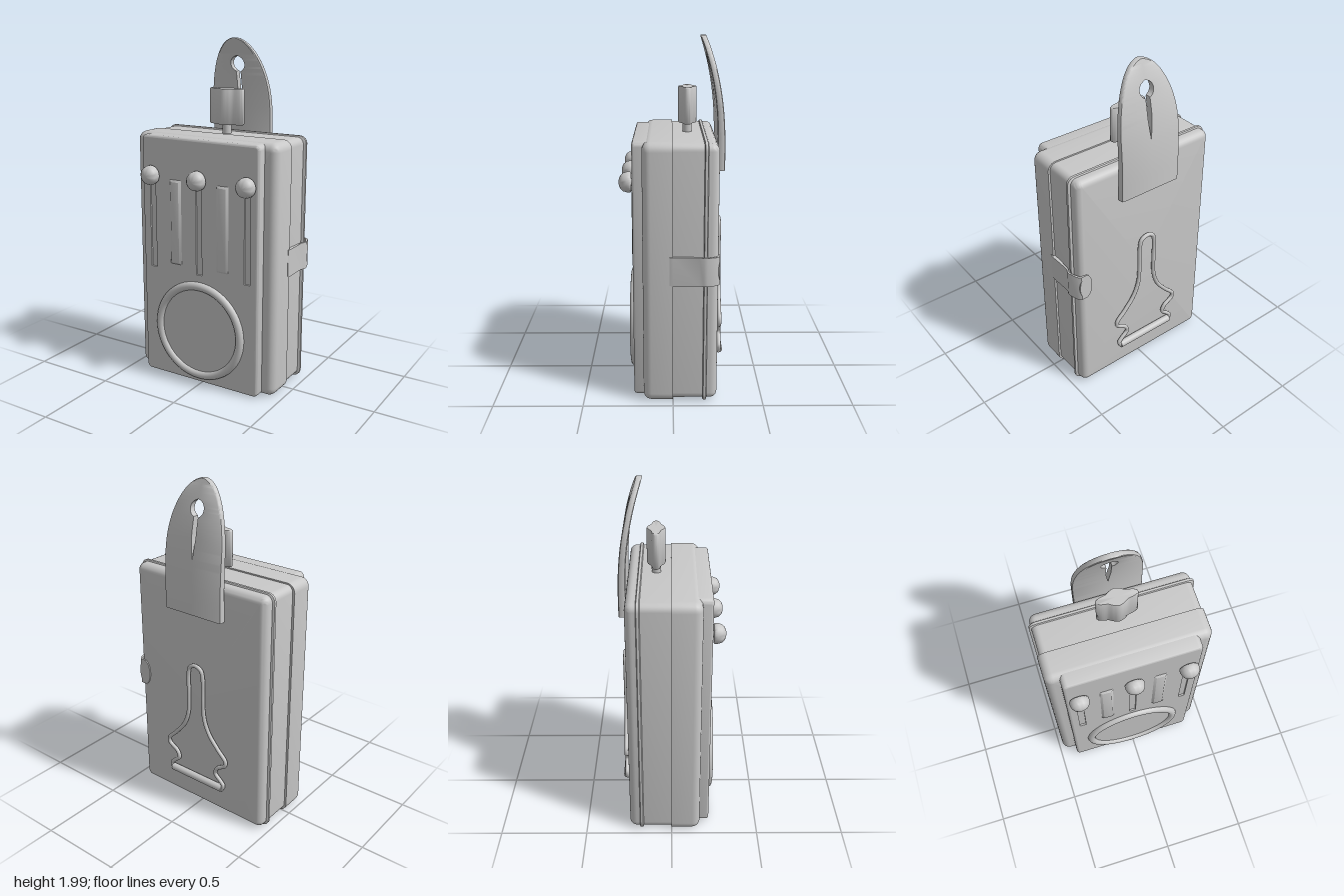
import * as THREE from 'three';
import { toCreasedNormals } from 'three/addons/utils/BufferGeometryUtils.js';

const CX = -0.007; // centre line of the fittings

// Skin a stack of rings (counter-clockwise seen from the stacking direction) and cap both ends.
function loft(rings, crease = 0.6) {
  const pos = [], idx = [], n = rings[0].length;
  rings.forEach(r => r.forEach(p => pos.push(p.x, p.y, p.z)));
  for (let k = 0; k < rings.length - 1; k++) {
    for (let i = 0; i < n; i++) {
      const j = (i + 1) % n, a = k * n, b = a + n;
      idx.push(a + i, a + j, b + j, a + i, b + j, b + i);
    }
  }
  [0, rings.length - 1].forEach((k, end) => {
    const c = new THREE.Vector3();
    rings[k].forEach(p => c.addScaledVector(p, 1 / n));
    const ci = pos.length / 3;
    pos.push(c.x, c.y, c.z);
    for (let i = 0; i < n; i++) {
      const a = k * n + i, b = k * n + (i + 1) % n;
      idx.push(ci, end ? a : b, end ? b : a);
    }
  });
  const g = new THREE.BufferGeometry();
  g.setAttribute('position', new THREE.Float32BufferAttribute(pos, 3));
  g.setIndex(idx);
  return toCreasedNormals(g, crease);
}

// Rounded rectangle, counter-clockwise.
function roundedRect(x0, x1, y0, y1, r) {
  const points = [], xs = [x1 - r, x0 + r], ys = [y1 - r, y0 + r];
  [[0, 0], [1, 0], [1, 1], [0, 1]].forEach(([i, j], q) => {
    for (let k = 0; k <= 6; k++) {
      const a = (q + k / 6) * Math.PI / 2;
      points.push(new THREE.Vector2(xs[i] + r * Math.cos(a), ys[j] + r * Math.sin(a)));
    }
  });
  return points;
}

// Rounded rectangle lofted along z; profile rows are [inset, z] from back to front.
function slab(x0, x1, y0, y1, radius, profile) {
  return loft(profile.map(([d, z]) =>
    roundedRect(x0 + d, x1 - d, y0 + d, y1 - d, Math.max(radius - d, 0.004))
      .map(p => new THREE.Vector3(p.x, p.y, z))));
}

// Quarter-round edge rows ending at z, on the front (dir 1) or back (dir -1).
function roundEdge(r, z, dir) {
  const rows = [];
  for (let k = 0; k <= 6; k++) {
    const a = k / 6 * Math.PI / 2;
    rows.push([r * (1 - Math.cos(a)), z - dir * r * (1 - Math.sin(a))]);
  }
  return dir > 0 ? rows : rows.reverse();
}

// Curved hanging strap with a keyhole, made of two mirrored halves.
function strapHalf(side) {
  const rings = [];
  for (let k = 0; k <= 90; k++) {
    const y = 1.27 + 0.729 * (1 - Math.pow(1 - k / 90, 1.6));
    const t = Math.max(0, (y - 1.6) / 0.4);
    const outer = 0.195 * Math.sqrt(Math.max(0, 1 - t * t));
    const d = y - 1.85;
    const slit = y > 1.58 && y < 1.85 ? 0.014 * Math.min(1, (y - 1.58) / 0.12) : 0;
    const hole = Math.abs(d) < 0.045 ? Math.sqrt(0.045 ** 2 - d * d) : 0;
    const inner = Math.min(Math.max(slit, hole), outer);
    const u = Math.max(0, (y - 1.35) / 0.65);
    const back = -0.29 + 0.105 * Math.pow(u, 2.4);
    const front = back + 0.044 - 0.012 * u;
    const c = Math.min(0.01, (outer - inner) / 2); // softened outer edge
    const ring = [[inner, front], [outer - c, front], [outer - c * 0.3, front - 0.004], [outer, front - 0.011],
      [outer, back + 0.011], [outer - c * 0.3, back + 0.004], [outer - c, back], [inner, back]]
      .map(([x, z]) => new THREE.Vector3(CX + side * x, y, z));
    rings.push(side > 0 ? ring : ring.reverse());
  }
  return loft(rings);
}

export function createModel() {
  const model = new THREE.Group();
  const grey = new THREE.MeshStandardMaterial({ color: 0xc8c8c8 });
  grey.name = 'light grey';
  const add = (name, geometry, x = 0, y = 0, z = 0) => {
    const mesh = new THREE.Mesh(geometry, grey);
    mesh.name = name;
    mesh.position.set(x, y, z);
    model.add(mesh);
    return mesh;
  };
  const sliderX = [-1, 0, 1].map(i => CX + i * 0.316);

  // Case: front shell, raised panel, rear shell and the lip around it
  add('frontShell', slab(-0.475, 0.457, 0.005, 1.47, 0.05, [[0, 0], ...roundEdge(0.045, 0.165, 1)]));
  add('frontPanel', slab(-0.396, 0.38, 0.01, 1.465, 0.03,
    [[0, 0.11], ...roundEdge(0.016, 0.22, 1), [0.016, 0.21]]));
  add('rearShell', slab(-0.462, 0.445, 0.015, 1.462, 0.04, [...roundEdge(0.04, -0.245, -1), [0, 0.01]]));
  add('lip', slab(-0.474, 0.46, 0.005, 1.47, 0.045,
    [[0.006, -0.186], [0, -0.182], [0, -0.168], [0.006, -0.164]]));

  // Panel face with the three slider slots cut through it
  const face = new THREE.Shape(roundedRect(-0.38, 0.364, 0.026, 1.449, 0.014));
  for (const x of sliderX) face.holes.push(new THREE.Path(roundedRect(x - 0.019, x + 0.019, 0.68, 1.23, 0.002)));
  add('panelFace', new THREE.ExtrudeGeometry(face, { depth: 0.01, bevelEnabled: false }), 0, 0, 0.21);

  // Lamp: ring and lens
  add('lampRing', new THREE.TorusGeometry(0.275, 0.025, 16, 72), CX, 0.337, 0.221);
  const lens = add('lens', new THREE.CylinderGeometry(0.265, 0.265, 0.02, 64), CX, 0.337, 0.217);
  lens.rotation.x = Math.PI / 2;

  // Three sliders: stem and domed button
  const dome = [[0, 0], [0.05, 0], [0.056, 0.006], [0.056, 0.022], [0.05, 0.043], [0.037, 0.058], [0.019, 0.066], [0, 0.068]];
  const buttonGeometry = toCreasedNormals(
    new THREE.LatheGeometry(dome.map(p => new THREE.Vector2(...p)), 32), 0.8);
  const stemGeometry = new THREE.CylinderGeometry(0.018, 0.018, 0.03, 20);
  for (const x of sliderX) {
    add('sliderStem', stemGeometry, x, 1.235, 0.22).rotation.x = Math.PI / 2;
    add('sliderButton', buttonGeometry, x, 1.235, 0.225).rotation.x = Math.PI / 2;
  }

  // Two ridges between the sliders
  for (const s of [-1, 1]) {
    const x = CX + s * 0.157;
    add('ridge', slab(x - 0.038, x + 0.038, 0.72, 1.22, 0.005, [[0, 0.215], [0, 0.22], [0.012, 0.231]]));
  }

  // Turning knob on top
  const quarter = [[0.114, 0], [0.106, 0.014], [0.085, 0.022], [0.055, 0.028], [0.03, 0.043], [0, 0.052]];
  const upper = [...quarter, ...quarter.slice(0, -1).reverse().map(([x, y]) => [-x, y])];
  const outline = [...upper, ...upper.slice(1, -1).reverse().map(([x, y]) => [x, -y])];
  const curve = new THREE.CatmullRomCurve3(outline.map(([x, y]) => new THREE.Vector3(x, y, 0)), true);
  const section = curve.getPoints(60).slice(0, -1);
  const knob = loft([[0.95, 0], [1, 0.006], [1, 0.198], [0.95, 0.204]]
    .map(([s, z]) => section.map(p => new THREE.Vector3(p.x * s, p.y * s, z))), 0.9);
  knob.rotateX(-Math.PI / 2);
  add('knob', knob, CX, 1.515, -0.083);
  add('knobStem', new THREE.CylinderGeometry(0.026, 0.026, 0.1, 24), CX, 1.49, -0.083);

  // Hanging strap
  add('strapLeft', strapHalf(1));
  add('strapRight', strapHalf(-1));

  // Side latch, bent around the lip, with a rounded tongue on the back
  const latch = new THREE.Shape([
    [0.445, 0.02], [0.459, 0.02], [0.464, 0], [0.462, -0.14], [0.474, -0.165], [0.474, -0.185],
    [0.458, -0.235], [0.44, -0.252], [0.4, -0.252], [0.4, -0.242], [0.43, -0.242],
    [0.447, -0.228], [0.464, -0.186], [0.464, -0.168], [0.453, -0.142], [0.445, -0.05],
  ].map(([x, z]) => new THREE.Vector2(x, -z)));
  const latchGeometry = new THREE.ExtrudeGeometry(latch, { depth: 0.16, bevelEnabled: false });
  latchGeometry.rotateX(-Math.PI / 2);
  add('latch', toCreasedNormals(latchGeometry, 0.7), 0, 0.695, 0);
  const tongue = add('latchTongue', new THREE.CylinderGeometry(0.08, 0.08, 0.01, 32), 0.41, 0.775, -0.247);
  tongue.rotation.x = Math.PI / 2;
  tongue.scale.x = 0.5;

  // Wire clip on the back with its hinge bar
  const half = [[0.185, 0.19], [0.2, 0.225], [0.18, 0.25], [0.14, 0.29], [0.155, 0.33], [0.212, 0.37],
    [0.215, 0.4], [0.16, 0.46], [0.095, 0.54], [0.06, 0.63], [0.052, 0.75], [0.052, 0.89], [0.04, 0.935]];
  const wirePoints = [...half, [0, 0.953], ...half.slice().reverse().map(([x, y]) => [-x, y])]
    .map(([x, y]) => new THREE.Vector3(CX + x, y, -0.27));
  add('wireClip', new THREE.TubeGeometry(new THREE.CatmullRomCurve3(wirePoints), 160, 0.012, 10));
  const bar = add('hingeBar', new THREE.CylinderGeometry(0.022, 0.022, 0.38, 20), CX, 0.2, -0.268);
  bar.rotation.z = Math.PI / 2;

  return model;
}
